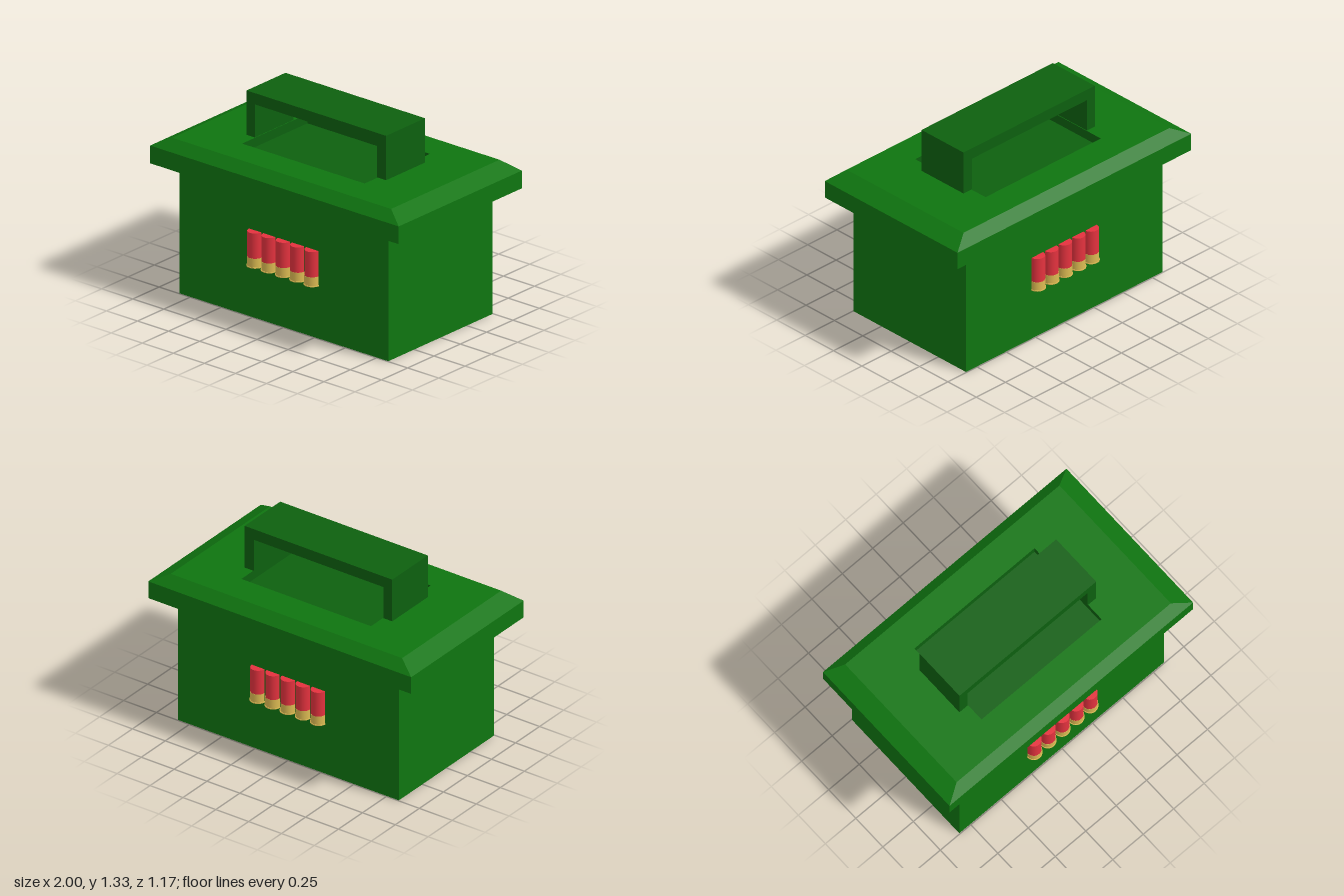
import * as THREE from 'three';

const paint = (name, color) => {
  const m = new THREE.MeshStandardMaterial({ color });
  m.name = name;
  return m;
};

// Faceted skin through stacked rectangles [halfX, y, halfZ]
function rectLoft(rings) {
  const corners = [[1, 1], [1, -1], [-1, -1], [-1, 1]];
  const pos = [];
  const at = ([hx, y, hz], i) => {
    const [sx, sz] = corners[i % 4];
    return [sx * hx, y, sz * hz];
  };
  for (let r = 0; r < rings.length - 1; r++) {
    for (let i = 0; i < 4; i++) {
      const a = at(rings[r], i), b = at(rings[r], i + 1);
      const c = at(rings[r + 1], i + 1), d = at(rings[r + 1], i);
      if (rings[r][0] > 0) pos.push(...a, ...b, ...c);
      if (rings[r + 1][0] > 0) pos.push(...a, ...c, ...d);
      else pos.push(...a, ...b, ...d);
    }
  }
  const g = new THREE.BufferGeometry();
  g.setAttribute('position', new THREE.Float32BufferAttribute(pos, 3));
  g.computeVertexNormals();
  return g;
}

export function createModel() {
  const green = paint('box green', 0x0f7510);
  const darkGreen = paint('handle green', 0x0d600f);
  const red = paint('cartridge red', 0xe4323e);
  const brass = paint('cartridge brass', 0xdcbb52);

  const model = new THREE.Group();
  model.name = 'cartridgeBox';
  const add = (parent, name, geo, mat, x = 0, y = 0, z = 0) => {
    const m = new THREE.Mesh(geo, mat);
    m.name = name;
    m.position.set(x, y, z);
    parent.add(m);
    return m;
  };

  // Box body
  add(model, 'body', new THREE.BoxGeometry(1.68, 0.85, 0.99), green, 0, 0.425, 0);

  // Overhanging lid with bevelled edge and an open centre
  add(model, 'lid', rectLoft([
    [0, 0.85, 0], [1, 0.85, 0.585], [1, 0.968, 0.585],
    [0.88, 1.03, 0.515], [0.493, 1.03, 0.31],
  ]), green);

  // Sunken tray under the handle
  add(model, 'lidRecess', rectLoft([
    [0.493, 1.03, 0.31], [0.493, 0.968, 0.31], [0, 0.968, 0],
  ]), darkGreen);

  // Wide strap handle
  const strap = new THREE.Shape([
    [-0.563, 1.03], [-0.497, 1.03], [-0.497, 1.25], [0.488, 1.25],
    [0.488, 1.03], [0.56, 1.03], [0.56, 1.325], [-0.563, 1.325],
  ].map(([x, y]) => new THREE.Vector2(x, y)));
  const strapGeo = new THREE.ExtrudeGeometry(strap, { depth: 0.37, bevelEnabled: false });
  add(model, 'handle', strapGeo, darkGreen, 0, 0, -0.185);

  // Rows of cartridges half sunk into the front and back
  const hull = new THREE.CylinderGeometry(0.049, 0.049, 0.17, 24);
  const base = new THREE.CylinderGeometry(0.05, 0.05, 0.06, 24);
  const rim = new THREE.CylinderGeometry(0.054, 0.054, 0.006, 24);
  for (const [side, z] of [['front', 0.497], ['back', -0.495]]) {
    const row = new THREE.Group();
    row.name = side + 'Cartridges';
    for (let i = -2; i <= 2; i++) {
      const x = i * 0.115;
      add(row, 'cartridgeHull', hull, red, x, 0.497, z);
      add(row, 'cartridgeBase', base, brass, x, 0.384, z);
      add(row, 'cartridgeRim', rim, brass, x, 0.353, z);
    }
    model.add(row);
  }
  return model;
}
